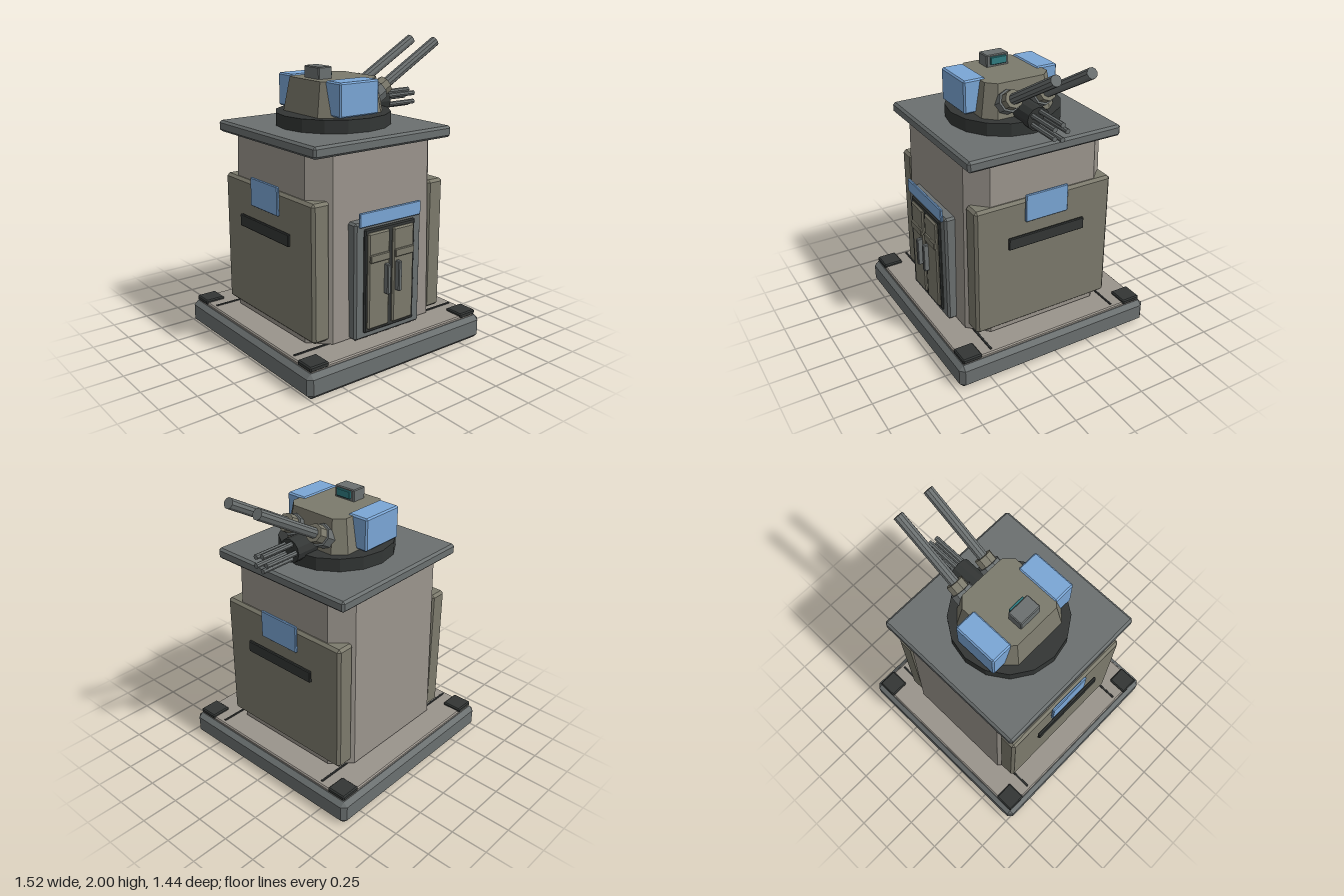
import * as THREE from 'three';
import { ConvexGeometry } from 'three/addons/geometries/ConvexGeometry.js';

const mat = (color) => new THREE.MeshStandardMaterial({ color, flatShading: true });
const grey = mat(0x6b7070), wall = mat(0x9a948c), armour = mat(0x7c7a6c);
const dark = mat(0x333635), blue = mat(0x7aa6d6), teal = mat(0x2f7d82);
const SIGNS = [-1, 1];

function add(parent, name, geometry, material) {
  const mesh = new THREE.Mesh(geometry, material);
  mesh.name = name;
  parent.add(mesh);
  return mesh;
}

// Box with flat chamfers on every edge, given by its limits
function block(parent, name, material, [x0, x1], [y0, y1], [z0, z1], bevel = 0.005) {
  const a = (x1 - x0) / 2, b = (y1 - y0) / 2, c = (z1 - z0) / 2, k = bevel;
  const pts = [];
  for (const i of SIGNS) for (const j of SIGNS) for (const l of SIGNS) {
    pts.push(new THREE.Vector3(i * a, j * (b - k), l * (c - k)));
    pts.push(new THREE.Vector3(i * (a - k), j * b, l * (c - k)));
    pts.push(new THREE.Vector3(i * (a - k), j * (b - k), l * c));
  }
  const mesh = add(parent, name, new ConvexGeometry(pts), material);
  mesh.position.set((x0 + x1) / 2, (y0 + y1) / 2, (z0 + z1) / 2);
  return mesh;
}

// Tapered square tower with cut corners; each level is [y, halfWidth, cornerCut]
function taperedTower(parent, name, material, levels) {
  const pts = [];
  for (const [y, h, cut] of levels)
    for (const i of SIGNS) for (const j of SIGNS) {
      pts.push(new THREE.Vector3(i * h, y, j * (h - cut)));
      pts.push(new THREE.Vector3(i * (h - cut), y, j * h));
    }
  return add(parent, name, new ConvexGeometry(pts), material);
}

// Cylinder along local +x from s0 to s1
function rod(parent, name, material, radius, s0, s1, sides, y = 0, z = 0) {
  const g = new THREE.CylinderGeometry(radius, radius, s1 - s0, sides);
  g.rotateZ(-Math.PI / 2);
  const mesh = add(parent, name, g, material);
  mesh.position.set((s0 + s1) / 2, y, z);
  return mesh;
}

function group(parent, name) {
  const g = new THREE.Group();
  g.name = name;
  parent.add(g);
  return g;
}

function buildBase(root) {
  const base = group(root, 'base');
  block(base, 'foundation', grey, [-0.72, 0.72], [0, 0.165], [-0.72, 0.72], 0.03);
  block(base, 'paving', wall, [-0.685, 0.685], [0.15, 0.185], [-0.685, 0.685], 0.008);
  for (const k of SIGNS) {
    block(base, 'pavingGroove', dark, [-0.66, 0.66], [0.18, 0.192], [k * 0.473 - 0.007, k * 0.473 + 0.007], 0.002);
    for (const i of SIGNS)
      block(base, 'cornerPad', dark, [i * 0.622 - 0.07, i * 0.622 + 0.07], [0.168, 0.203],
        [k * 0.622 - 0.068, k * 0.622 + 0.068], 0.008);
  }
}

function buildTower(root) {
  const tower = group(root, 'tower');
  taperedTower(tower, 'walls', wall, [[0.2, 0.52, 0.125], [1.41, 0.5, 0.12]]);
  block(tower, 'roofSlab', grey, [-0.547, 0.547], [1.4, 1.475], [-0.547, 0.547], 0.015);
  // Armour panels with sign and vision slot on both flanks
  for (const s of SIGNS) {
    const span = (a, b) => (s > 0 ? [a, b] : [-b, -a]);
    block(tower, 'sidePanel', armour, span(0.4, 0.53), [0.222, 1.12], [-0.502, 0.502], 0.018);
    block(tower, 'sideSign', blue, span(0.533, 0.552), [0.97, 1.16], [-0.155, 0.155]);
    block(tower, 'visionSlot', dark, span(0.54, 0.56), [0.805, 0.887], [-0.28, 0.28]);
  }
}

function buildDoor(root) {
  const door = group(root, 'entrance');
  block(door, 'doorSurround', grey, [-0.27, 0.27], [0.2, 0.97], [0.49, 0.578], 0.014);
  block(door, 'doorFrame', dark, [-0.205, 0.205], [0.243, 0.927], [0.56, 0.592], 0.008);
  block(door, 'doorSign', blue, [-0.248, 0.248], [0.945, 1.038], [0.578, 0.596]);
  for (const s of SIGNS) {
    const span = (a, b) => (s > 0 ? [a, b] : [-b, -a]);
    block(door, 'doorLeaf', armour, span(0.014, 0.186), [0.265, 0.902], [0.58, 0.607], 0.01);
    block(door, 'doorBand', armour, span(0.022, 0.178), [0.71, 0.762], [0.6, 0.62]);
    block(door, 'doorHandle', grey, span(0.032, 0.06), [0.485, 0.685], [0.6, 0.642]);
  }
}

function buildTurret(root) {
  const turret = group(root, 'turret');
  add(turret, 'turretRing', new THREE.CylinderGeometry(0.38, 0.38, 0.09, 16), dark).position.y = 1.515;
  taperedTower(turret, 'turretBody', armour, [[1.55, 0.264, 0.075], [1.78, 0.225, 0.06]]);
  block(turret, 'sightBox', grey, [-0.172, -0.066], [1.77, 1.857], [-0.081, 0.081], 0.006);
  block(turret, 'sightLens', teal, [-0.07, -0.05], [1.795, 1.845], [-0.057, 0.057], 0.003);

  for (const s of SIGNS) {
    const z = s > 0 ? [0.185, 0.338] : [-0.338, -0.185];
    block(turret, 'sidePod', blue, [-0.2, 0.108], [1.57, 1.788], z, 0.01);

    // Raised cannon, built along x and then pitched up
    const cannon = group(turret, 'cannon');
    cannon.position.set(0.295, 1.687, s * 0.12);
    cannon.rotation.z = Math.PI / 6;
    rod(cannon, 'cannonMount', grey, 0.074, -0.08, -0.005, 8);
    rod(cannon, 'cannonCollar', armour, 0.06, -0.005, 0.055, 8);
    rod(cannon, 'cannonBarrel', grey, 0.035, 0, 0.566, 10);
  }

  // Level rotary gun with a ring of five barrels
  const rotary = group(turret, 'rotaryGun');
  rotary.position.y = 1.587;
  rod(rotary, 'rotaryHousing', dark, 0.079, 0.2, 0.43, 12);
  for (let i = 0; i < 5; i++) {
    const a = (i / 5) * Math.PI * 2;
    rod(rotary, 'rotaryBarrel', grey, 0.017, 0.42, 0.672, 8, 0.05 * Math.sin(a), -0.05 * Math.cos(a));
  }
}

export function createModel() {
  const model = new THREE.Group();
  model.name = 'turretTower';
  const root = group(model, 'building');
  root.position.x = -0.045;
  buildBase(root);
  buildTower(root);
  buildDoor(root);
  buildTurret(root);
  return model;
}
